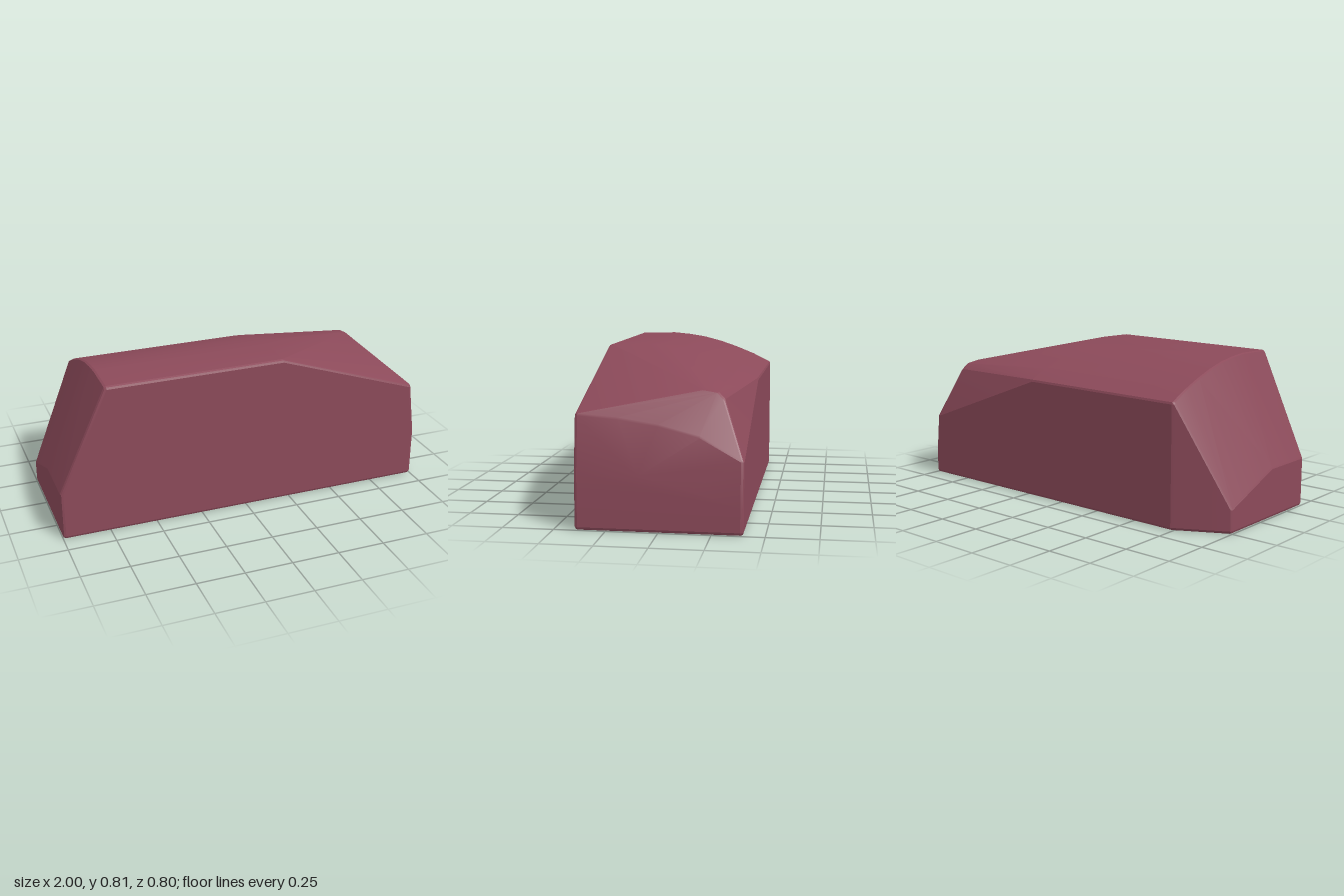
import * as THREE from 'three';
import { ConvexGeometry } from 'three/addons/geometries/ConvexGeometry.js';
import { toCreasedNormals } from 'three/addons/utils/BufferGeometryUtils.js';

const BEVEL = 0.015;
const HALF = new THREE.Vector3(1, 0.4075, 0.4);

// Convex block with softened edges: a small ball of points sits at every inset corner
function softHull(corners) {
  const ball = new THREE.OctahedronGeometry(BEVEL, 1).attributes.position;
  const offsets = new Map();
  for (let i = 0; i < ball.count; i++) {
    const v = new THREE.Vector3().fromBufferAttribute(ball, i);
    offsets.set(v.toArray().map((n) => Math.round(n * 1e4)).join(), v);
  }
  const points = [];
  for (const [x, y, z] of corners) {
    const inset = new THREE.Vector3(
      x * (1 - BEVEL / HALF.x),
      HALF.y + (y - HALF.y) * (1 - BEVEL / HALF.y),
      z * (1 - BEVEL / HALF.z)
    );
    for (const o of offsets.values()) points.push(inset.clone().add(o));
  }
  return toCreasedNormals(new ConvexGeometry(points), 0.3);
}

export function createModel() {
  const group = new THREE.Group();
  group.name = 'block';
  const corners = [];

  // Base outline, with the back corner of the -x end cut off
  corners.push([-1, 0, 0.4], [1, 0, 0.4], [1, 0, -0.4], [-0.75, 0, -0.4], [-1, 0, -0.26]);

  // Top edge of the low upright strip at the -x end
  corners.push([-1, 0.25, 0.4], [-1, 0.25, 0.1], [-1, 0.11, -0.26]);

  // Arched roof, swept along x and falling towards the back
  const roof = [[0.4, 0.81], [0.2, 0.815], [0.1, 0.806], [0, 0.79], [-0.1, 0.764],
    [-0.2, 0.73], [-0.3, 0.69], [-0.4, 0.64]];
  for (const [z, y] of roof) {
    corners.push([-0.75, y - 0.005, z], [0.2, y, z]);
  }

  // Sloping shoulder where the roof runs down to the +x end
  corners.push([0.86, 0.656, -0.2], [0.865, 0.645, -0.27], [0.875, 0.615, -0.3]);

  // Bulging +x end: upper and lower crease lines
  const upper = [[0.4, 0.545], [0.2, 0.53], [0, 0.5], [-0.2, 0.45], [-0.4, 0.34]];
  const lower = [[0.4, 0.26], [0.1, 0.26], [-0.15, 0.2], [-0.4, 0.12]];
  for (const [z, y] of upper) corners.push([0.963 + (0.545 - y) * 0.07, y, z]);
  for (const [z, y] of lower) corners.push([1, y, z]);

  const body = new THREE.Mesh(
    softHull(corners),
    new THREE.MeshStandardMaterial({ color: 0x8c4a5a })
  );
  body.name = 'bevelledBody';
  group.add(body);
  return group;
}
